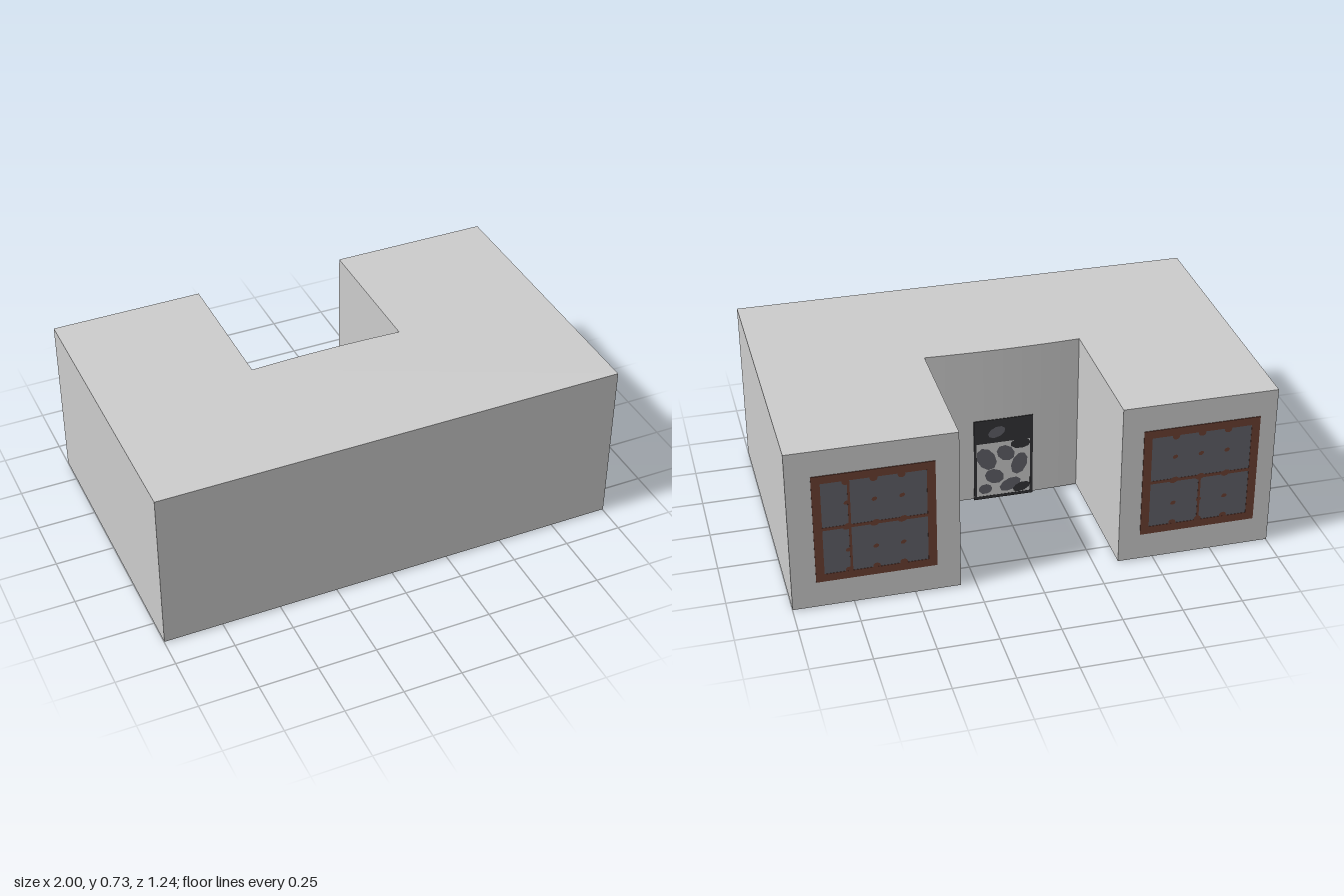
import * as THREE from 'three';

const wall = new THREE.MeshStandardMaterial({ color: 0xcccccc, name: 'wallGrey' });
const brown = new THREE.MeshStandardMaterial({ color: 0x6b3f32, name: 'frameBrown' });
const glass = new THREE.MeshStandardMaterial({ color: 0x616168, name: 'glassGrey' });
const dark = new THREE.MeshStandardMaterial({ color: 0x333336, name: 'doorDark' });

const BASE = 0.005, TOP = 0.725, BACK = -0.619, RECESS = -0.008;

function add(parent, name, geometry, material, x = 0, y = 0, z = 0) {
  const mesh = new THREE.Mesh(geometry, material);
  mesh.name = name;
  mesh.position.set(x, y, z);
  parent.add(mesh);
  return mesh;
}

const plate = (parent, name, material, x, y, z, w, h, t) =>
  add(parent, name, new THREE.BoxGeometry(w, h, t), material, x, y, z);

// Flat painted patch facing the back
function patch(parent, name, material, x, y, z, rx, ry, tilt = 0) {
  const g = new THREE.CircleGeometry(1, 9).scale(rx, ry, 1).rotateZ(tilt).rotateY(Math.PI);
  return add(parent, name, g, material, x, y, z);
}

// U-shaped block with a slightly bowed wall at the end of the courtyard
function building() {
  const s = new THREE.Shape();
  s.moveTo(-1, -0.622);
  s.lineTo(1, -0.622);
  s.lineTo(1, -BACK);
  s.lineTo(0.314, -BACK);
  s.lineTo(0.314, -RECESS);
  s.quadraticCurveTo(-0.018, -RECESS + 0.018, -0.35, -RECESS);
  s.lineTo(-0.35, -BACK);
  s.lineTo(-1, -BACK);
  s.closePath();
  const g = new THREE.ExtrudeGeometry(s, { depth: TOP - BASE, bevelEnabled: false, curveSegments: 8 });
  return g.rotateX(-Math.PI / 2).translate(0, BASE, 0);
}

// Square window on the back end of a wing; uprightX places its thin bar
function backWindow(name, x, uprightX, uprightY, uprightH) {
  const win = new THREE.Group();
  win.name = name;
  win.position.set(x, 0.367, BACK);
  const half = 0.245, inner = 0.21;
  plate(win, 'windowGlass', glass, 0, 0, -0.0005, inner * 2, inner * 2, 0.002);

  const box = (r, P) => new P([[-r, -r], [r, -r], [r, r], [-r, r]].map(([a, b]) => new THREE.Vector2(a, b)));
  const ring = box(half, THREE.Shape);
  ring.holes.push(box(inner, THREE.Path));
  add(win, 'windowFrame', new THREE.ExtrudeGeometry(ring, { depth: 0.004, bevelEnabled: false }), brown, 0, 0, -0.003);

  // Worn glazing bars
  plate(win, 'crossBar', brown, 0, 0, -0.001, inner * 2, 0.014, 0.003);
  plate(win, 'uprightBar', brown, uprightX, uprightY, -0.001, 0.01, uprightH, 0.003);
  for (const u of [-0.11, 0, 0.11]) {
    for (const v of [-0.11, 0, 0.11]) {
      patch(win, 'barJoint', brown, u, v, -0.0028, v ? 0.012 : 0.02, v ? 0.009 : 0.014, 0.4);
    }
    for (const v of [-0.205, 0.205]) patch(win, 'frameJoint', brown, u, v, -0.0028, 0.016, 0.014);
  }
  return win;
}

// Mottled door in the courtyard wall
function door() {
  const d = new THREE.Group();
  d.name = 'door';
  d.position.set(-0.02, 0, RECESS - 0.0075);
  plate(d, 'doorPanel', wall, 0, 0.197, 0, 0.26, 0.39, 0.006);
  plate(d, 'doorUpper', dark, 0, 0.335, -0.0005, 0.26, 0.114, 0.007);
  for (const s of [-1, 1]) plate(d, 'doorEdge', dark, s * 0.124, 0.197, -0.0005, 0.012, 0.39, 0.007);
  plate(d, 'doorSill', dark, 0, 0.007, -0.0005, 0.26, 0.014, 0.007);
  const spots = [
    [0.075, 0.2, 0.04, 0.06, 0.5], [0.04, 0.11, 0.045, 0.035, -0.5], [-0.01, 0.22, 0.035, 0.045, 0.8],
    [-0.07, 0.16, 0.035, 0.055, -0.3], [-0.03, 0.06, 0.05, 0.03, 0.4], [0.08, 0.05, 0.03, 0.025, 0],
  ];
  for (const [x, y, rx, ry, tilt] of spots) patch(d, 'doorMottle', glass, x, y, -0.0045, rx, ry, tilt);
  patch(d, 'doorDarkSpot', dark, -0.08, 0.04, -0.005, 0.04, 0.022, 0.3);
  patch(d, 'doorDarkSpot', dark, -0.075, 0.26, -0.005, 0.045, 0.025);
  patch(d, 'doorUpperSpot', glass, 0.03, 0.33, -0.005, 0.04, 0.025, 0.4);
  return d;
}

export function createModel() {
  const model = new THREE.Group();
  model.name = 'building';
  add(model, 'walls', building(), wall);
  model.add(backWindow('leftWindow', 0.655, 0.1, 0, 0.42));
  model.add(backWindow('rightWindow', -0.685, 0, -0.105, 0.21));
  model.add(door());
  return model;
}
